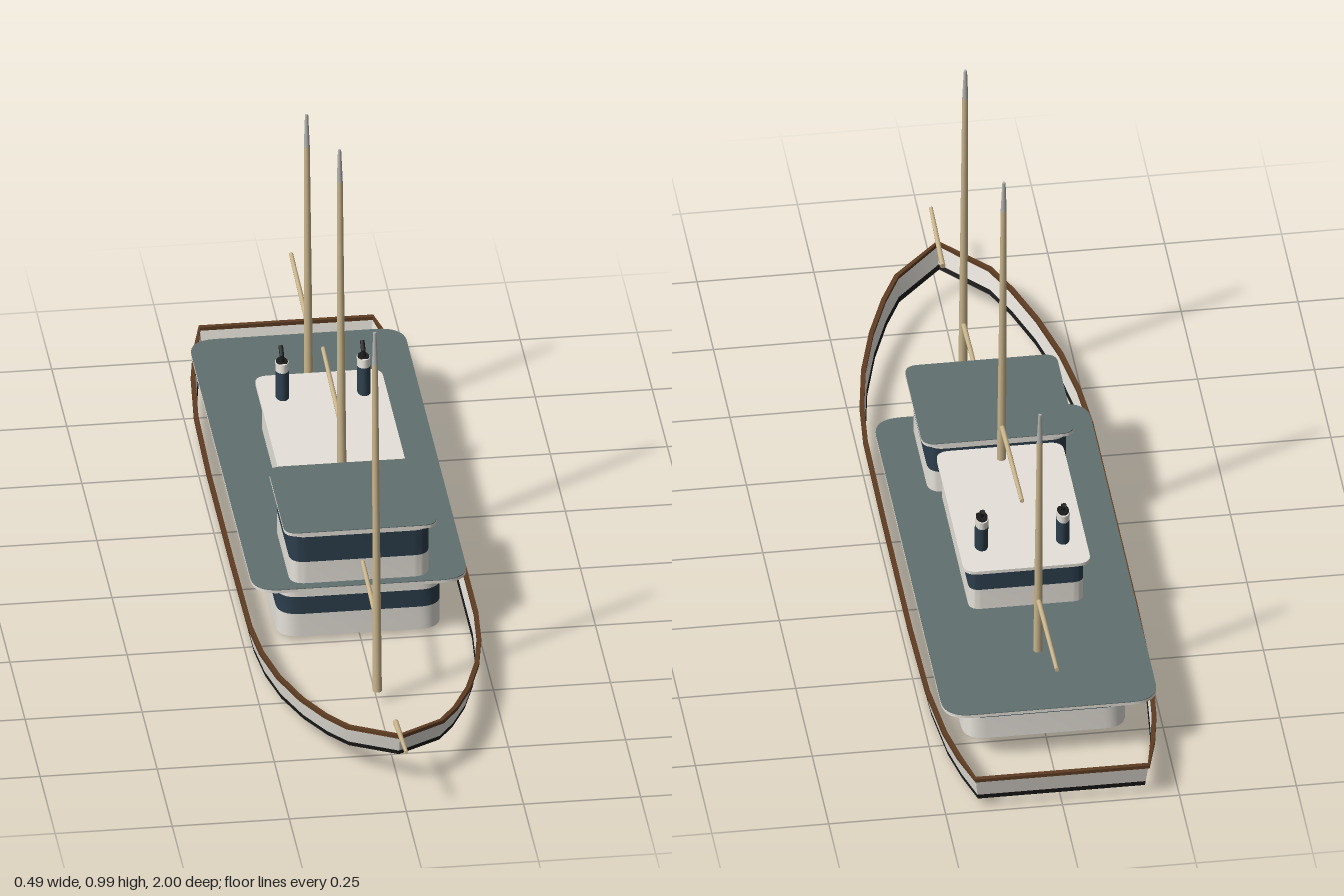
import * as THREE from 'three';
import { toCreasedNormals } from 'three/addons/utils/BufferGeometryUtils.js';

const mat = (name, color, side = THREE.FrontSide) =>
  Object.assign(new THREE.MeshStandardMaterial({ color, side }), { name });

export function createModel() {
  const white = mat('white paint', 0xe6e2da, THREE.DoubleSide);
  const navy = mat('navy window band', 0x2c3e4c);
  const slate = mat('slate roof', 0x627070);
  const black = mat('black', 0x1a1a1a, THREE.DoubleSide);
  const brown = mat('brown rail', 0x5e3c22, THREE.DoubleSide);
  const wood = mat('spar wood', 0xcbb78e);
  const grey = mat('grey mast tip', 0xb4b4b2);

  const model = new THREE.Group();
  model.name = 'motorYacht';
  const add = (name, geometry, material, parent = model) => {
    const mesh = new THREE.Mesh(geometry, material);
    mesh.name = name;
    parent.add(mesh);
    return mesh;
  };
  const group = (name) => {
    const g = new THREE.Group();
    g.name = name;
    model.add(g);
    return g;
  };

  // Hull stations from transom to bow: z, half width, top y, bottom y
  const stations = [
    [-0.995, 0.185, 0.08, 0.022], [-0.9, 0.207, 0.073, 0.013], [-0.8, 0.224, 0.068, 0.006],
    [-0.64, 0.238, 0.063, 0.002], [-0.4, 0.242, 0.06, 0], [0, 0.242, 0.06, 0],
    [0.28, 0.241, 0.064, 0.004], [0.4, 0.232, 0.068, 0.01], [0.52, 0.212, 0.076, 0.019],
    [0.64, 0.178, 0.086, 0.031], [0.74, 0.138, 0.097, 0.043], [0.81, 0.1, 0.107, 0.053],
    [0.895, 0, 0.124, 0.07],
  ];
  const outline = [
    ...stations.map(([z, x, t, b]) => ({ z, x, t, b })),
    ...stations.slice(0, -1).reverse().map(([z, x, t, b]) => ({ z, x: -x, t, b })),
  ];
  // Point on the hull skin: f = 0 bottom to 1 top, out = offset sideways, up = offset upward
  const hullPoint = (i, [f, out, up]) => {
    const n = outline.length, p = outline[i % n];
    const a = outline[(i + n - 1) % n], c = outline[(i + 1) % n];
    const dx = c.x - a.x, dz = c.z - a.z, len = Math.hypot(dx, dz);
    const flare = 0.965 + 0.035 * f;
    const rake = (1 - f) * (p.z > 0 ? -0.02 * Math.max(0, p.z - 0.3) / 0.6 : 0.012 * Math.max(0, -p.z - 0.6) / 0.4);
    return [p.x * flare + dz / len * out, p.b + (p.t - p.b) * f + up, p.z + rake - dx / len * out];
  };
  // Sweep a cross-section all around the hull outline
  const hullSweep = (section) => {
    const pos = [], idx = [], m = section.length;
    for (let i = 0; i <= outline.length; i++) section.forEach((s) => pos.push(...hullPoint(i, s)));
    for (let i = 0; i < outline.length; i++) {
      for (let j = 0; j < m - 1; j++) {
        const a = i * m + j, b = a + m;
        idx.push(a, a + 1, b, b, a + 1, b + 1);
      }
    }
    const g = new THREE.BufferGeometry();
    g.setAttribute('position', new THREE.Float32BufferAttribute(pos, 3));
    g.setIndex(idx);
    return toCreasedNormals(g, 0.5);
  };
  const hull = group('hull');
  add('bulwark', hullSweep([[0.2, 0, 0], [1, 0, 0]]), white, hull);
  add('boottop', hullSweep([[0, 0, 0], [0.2, 0, 0]]), black, hull);
  const w = 0.005, h = 0.004;
  add('capRail', hullSweep([[1, -w, -h], [1, w, -h], [1, w, h], [1, -w, h], [1, -w, -h]].reverse()), brown, hull);

  // Upright slab with rounded plan corners
  const slab = (halfX, zBack, zFront, y0, y1, r) => {
    const s = new THREE.Shape();
    s.moveTo(-halfX + r, -zFront).lineTo(halfX - r, -zFront);
    s.quadraticCurveTo(halfX, -zFront, halfX, -zFront + r).lineTo(halfX, -zBack - r);
    s.quadraticCurveTo(halfX, -zBack, halfX - r, -zBack).lineTo(-halfX + r, -zBack);
    s.quadraticCurveTo(-halfX, -zBack, -halfX, -zBack - r).lineTo(-halfX, -zFront + r);
    s.quadraticCurveTo(-halfX, -zFront, -halfX + r, -zFront);
    const g = new THREE.ExtrudeGeometry(s, { depth: y1 - y0, bevelEnabled: false, curveSegments: 8 });
    g.rotateX(-Math.PI / 2).translate(0, y0, 0);
    return toCreasedNormals(g, 0.6);
  };

  // Deckhouses: white walls, navy window band, roof slab with painted top
  const house = (name, x, zb, zf, [y0, y1, y2, y3], r, roof) => {
    const g = group(name);
    add('lowerWall', slab(x, zb, zf, y0, y1, r), white, g);
    add('windowBand', slab(x, zb, zf, y1, y2, r), navy, g);
    add('upperWall', slab(x, zb, zf, y2, y3, r), white, g);
    add('roof', slab(roof.x, roof.zb, roof.zf, y3, y3 + 0.007, roof.r), white, g);
    if (roof.top) add('roofTop', slab(roof.x, roof.zb, roof.zf, y3 + 0.007, y3 + 0.0085, roof.r), roof.top, g);
  };
  house('mainCabin', 0.175, -0.75, 0.235, [0.01, 0.064, 0.105, 0.13], 0.05,
    { x: 0.23, zb: -0.84, zf: 0.257, r: 0.06, top: slate });
  house('aftDeckhouse', 0.123, -0.46, -0.02, [0.138, 0.188, 0.228, 0.24], 0.025,
    { x: 0.136, zb: -0.476, zf: -0.03, r: 0.03 });
  house('wheelhouse', 0.149, -0.025, 0.236, [0.138, 0.19, 0.25, 0.264], 0.035,
    { x: 0.163, zb: -0.036, zf: 0.255, r: 0.03, top: slate });

  // Tapered round bar between two points in the centre plane, given as [y, z]
  const bar = (name, [ya, za], [yb, zb], ra, rb, material, parent = model, sides = 10) => {
    const a = new THREE.Vector3(0, ya, za), b = new THREE.Vector3(0, yb, zb);
    const dir = b.clone().sub(a);
    const mesh = add(name, new THREE.CylinderGeometry(rb, ra, dir.length(), sides), material, parent);
    mesh.position.copy(a).add(b).multiplyScalar(0.5);
    mesh.quaternion.setFromUnitVectors(new THREE.Vector3(0, 1, 0), dir.normalize());
    return mesh;
  };

  // Masts with grey tips and their booms
  const masts = [
    ['foreMast', [0.025, 0.516], [0.87, 0.474], [0.19, 0.505], [0.204, 0.275]],
    ['mainMast', [0.24, -0.072], [0.99, -0.11], [0.336, -0.08], [0.356, -0.385]],
    ['mizzenMast', [0.135, -0.625], [0.772, -0.657], [0.275, -0.635], [0.291, -0.915]],
  ];
  for (const [name, base, top, boomA, boomB] of masts) {
    const g = group(name);
    const k = 1 - 0.075 / (top[0] - base[0]);
    const joint = [base[0] + (top[0] - base[0]) * k, base[1] + (top[1] - base[1]) * k];
    bar('mastPole', base, joint, 0.01, 0.0065, wood, g);
    bar('mastTip', joint, top, 0.0065, 0.0035, grey, g);
    bar('boom', boomA, boomB, 0.0055, 0.0045, wood, g);
  }
  bar('bowsprit', [0.118, 0.82], [0.143, 0.999], 0.006, 0.004, wood);

  // Twin oval funnels, raked aft, each with a bent exhaust
  for (const side of [1, -1]) {
    const g = group(side > 0 ? 'leftFunnel' : 'rightFunnel');
    g.position.x = side * 0.087;
    const casing = [
      ['funnelBody', [0.245, -0.382], [0.308, -0.388], navy],
      ['funnelBand', [0.308, -0.388], [0.327, -0.39], white],
    ];
    for (const [name, a, b, m] of casing) bar(name, a, b, 0.0142, 0.0142, m, g, 20).scale.z = 1.5;
    bar('funnelTop', [0.326, -0.39], [0.3285, -0.39], 0.0125, 0.0125, black, g, 20).scale.z = 1.5;
    bar('exhaust', [0.325, -0.388], [0.342, -0.392], 0.005, 0.005, black, g);
    bar('exhaustBend', [0.339, -0.39], [0.354, -0.41], 0.005, 0.005, black, g);
  }
  return model;
}
